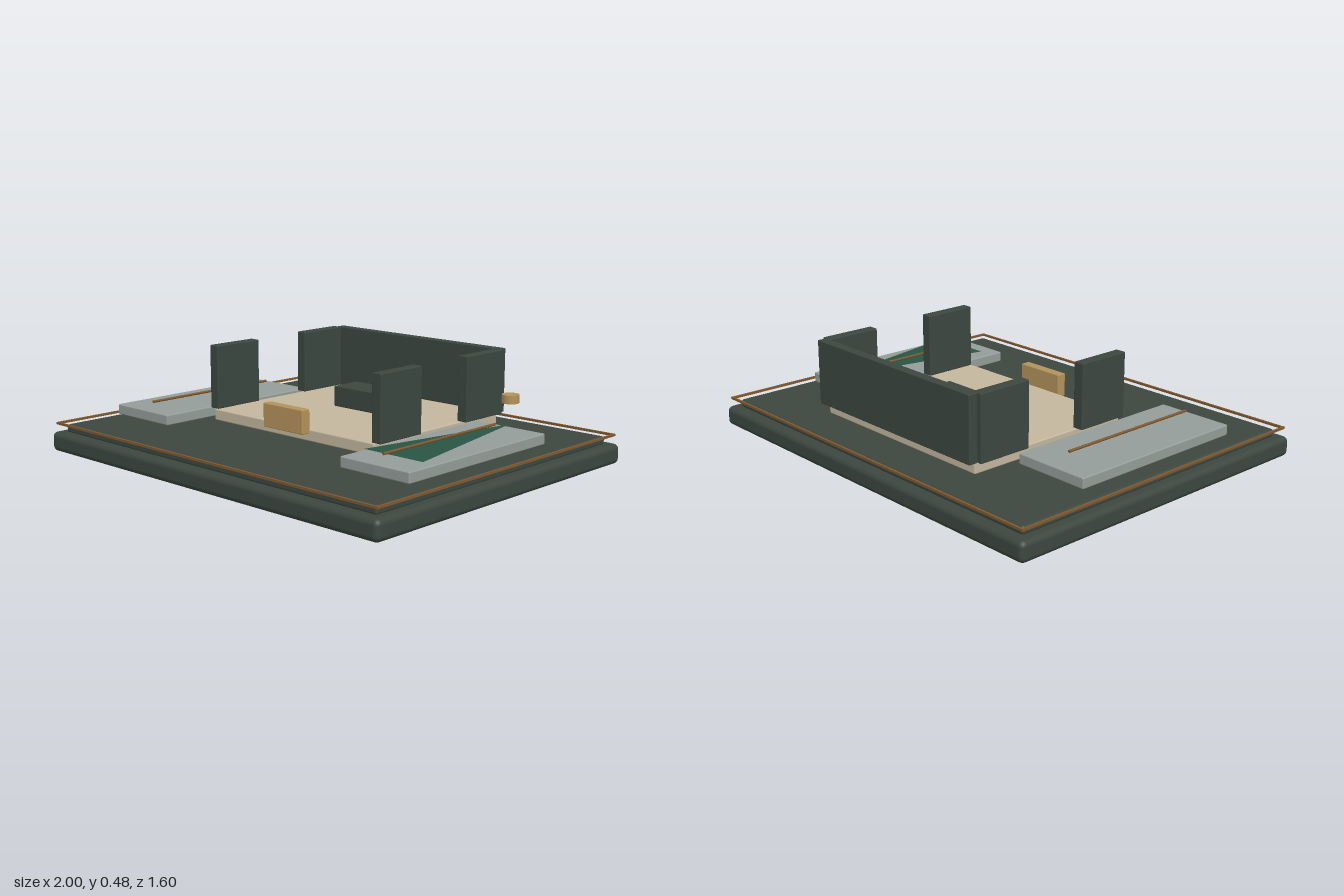
import * as THREE from 'three';
import { RoundedBoxGeometry } from 'three/addons/geometries/RoundedBoxGeometry.js';

const material = (name, color, side = THREE.FrontSide) => {
  const m = new THREE.MeshStandardMaterial({ color, side });
  m.name = name;
  return m;
};

export function createModel() {
  const group = new THREE.Group();
  const dark = material('dark green grey', 0x3c4740);
  const cream = material('cream', 0xc4b79f);
  const grey = material('pale grey', 0x959e9a);
  const gold = material('gold', 0xb4935c);
  const bronze = material('bronze', 0x80592f);
  const green = material('deep green', 0x2a5544, THREE.DoubleSide);

  const add = (name, geometry, mat) => {
    const mesh = new THREE.Mesh(geometry, mat);
    mesh.name = name;
    group.add(mesh);
    return mesh;
  };
  // Softly rounded box given by its limits on each axis
  const box = (name, [x0, x1], [y0, y1], [z0, z1], radius, mat) => {
    const mesh = add(name, new RoundedBoxGeometry(x1 - x0, y1 - y0, z1 - z0, 3, radius), mat);
    mesh.position.set((x0 + x1) / 2, (y0 + y1) / 2, (z0 + z1) / 2);
    return mesh;
  };

  // Stepped plinth
  box('base', [-1, 1], [0, 0.09], [-0.8, 0.8], 0.025, dark);
  box('upperBase', [-0.95, 0.95], [0.085, 0.124], [-0.75, 0.75], 0.012, dark);

  // Thin border rail
  for (const s of [-1, 1]) {
    const long = add('borderRailLong', new THREE.BoxGeometry(1.965, 0.01, 0.01), bronze);
    long.position.set(0, 0.129, s * 0.777);
    const short = add('borderRailShort', new THREE.BoxGeometry(0.01, 0.01, 1.55), bronze);
    short.position.set(s * 0.977, 0.129, 0);
  }

  // Room floor and walls
  box('floor', [-0.49, 0.49], [0.136, 0.188], [-0.575, 0.255], 0.006, cream);
  box('backWall', [-0.502, 0.502], [0.188, 0.48], [-0.614, -0.57], 0.004, dark);
  for (const s of [-1, 1]) {
    const x = s < 0 ? [-0.522, -0.472] : [0.472, 0.522];
    box('rearSideWall', x, [0.188, 0.48], [-0.57, -0.312], 0.004, dark);
    box('frontSideWall', x, [0.188, 0.48], [-0.008, 0.249], 0.004, dark);

    // Side terrace with a rod lying along it
    const t = s < 0 ? [-0.89, -0.532] : [0.532, 0.89];
    box('terrace', t, [0.141, 0.189], [-0.378, 0.5], 0.006, grey);
    const rod = add('rod', new THREE.CylinderGeometry(0.006, 0.006, 0.71, 10), bronze);
    rod.rotation.x = Math.PI / 2;
    rod.position.set(s * 0.706, 0.217, 0.085);
  }

  // Furniture
  box('table', [-0.138, 0.138], [0.188, 0.283], [-0.322, -0.17], 0.004, dark);
  box('frontPanel', [-0.12, 0.12], [0.17, 0.277], [0.252, 0.297], 0.004, gold);

  // Flat green triangle on the left terrace
  const outline = new THREE.Shape([
    new THREE.Vector2(0.566, -0.397),
    new THREE.Vector2(0.869, -0.397),
    new THREE.Vector2(0.718, 0.363),
  ]);
  const triangle = add('triangle', new THREE.ShapeGeometry(outline), green);
  triangle.rotation.x = -Math.PI / 2;
  triangle.position.y = 0.205;

  // Small disc floating above the tip of the triangle
  const disc = add('disc', new THREE.CylinderGeometry(0.038, 0.038, 0.037, 16), gold);
  disc.position.set(0.718, 0.317, -0.362);

  return group;
}
